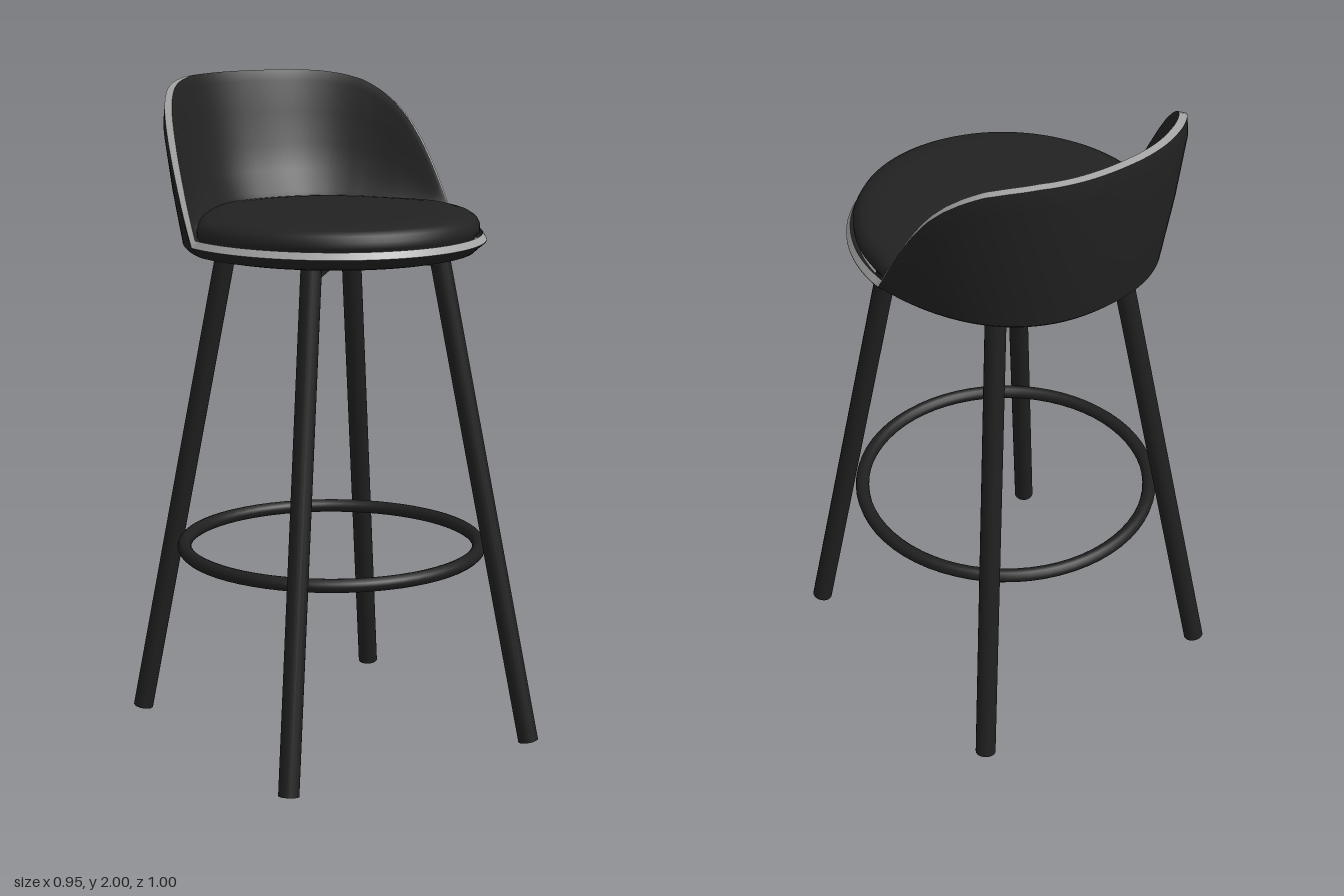
import * as THREE from 'three';

const SEG = 128;
const lerp = THREE.MathUtils.lerp;

// rim height by depth: low around the front, sweeping up to the back
const RIM = [[0.0, 1.535], [-0.04, 1.6], [-0.1, 1.7], [-0.15, 1.775], [-0.2, 1.84], [-0.25, 1.89],
  [-0.3, 1.93], [-0.35, 1.962], [-0.4, 1.98], [-0.45, 1.992], [-0.51, 1.997]];
function rimHeight(z) {
  if (z >= 0) return RIM[0][1];
  for (let i = 1; i < RIM.length; i++) {
    const [z0, y0] = RIM[i - 1], [z1, y1] = RIM[i];
    if (z >= z1) return lerp(y0, y1, (z - z0) / (z1 - z0));
  }
  return RIM[RIM.length - 1][1];
}

// plan radius: elliptical in front, slightly squarer behind
function planRadius(a) {
  const n = Math.cos(a) < 0 ? 2.25 : 2;
  const s = Math.abs(Math.sin(a)) / 0.465, c = Math.abs(Math.cos(a)) / (n > 2 ? 0.505 : 0.49);
  return Math.pow(Math.pow(s, n) + Math.pow(c, n), -1 / n);
}

// surface swept around y; profile(R, H, b) returns [radius, height] points, b = 0 front .. 1 back
function sweep(profile) {
  const pos = [], idx = [];
  let m = 0;
  for (let i = 0; i < SEG; i++) {
    const a = (i / SEG) * Math.PI * 2;
    const R = planRadius(a), H = rimHeight(R * Math.cos(a));
    const pts = profile(R, H, (H - 1.535) / 0.462);
    m = pts.length;
    for (const [r, y] of pts) pos.push(r * Math.sin(a), y, r * Math.cos(a));
  }
  for (let i = 0; i < SEG; i++) {
    const k = (i + 1) % SEG;
    for (let j = 0; j < m - 1; j++) {
      const p = i * m + j, q = k * m + j;
      idx.push(p, q, q + 1, p, q + 1, p + 1);
    }
  }
  const g = new THREE.BufferGeometry();
  g.setAttribute('position', new THREE.Float32BufferAttribute(pos, 3));
  g.setIndex(idx);
  g.computeVertexNormals();
  return g;
}

const trimOuter = (R, H, b) => [R - 0.008 * b, H];
const trimInner = (R, H, b) => [R - 0.012 - 0.02 * b, H + 0.02 * (1 - b) + 0.003 * b];

// outer shell, from the underside centre out and up to the rim
function shellProfile(R, H, b) {
  const base = R * lerp(0.955, 0.87, b), y0 = 1.515;
  return [[0, 1.487], [R * 0.5, 1.488], [base - 0.045, 1.496], [base - 0.012, 1.503], [base, y0],
    [lerp(base, R, 0.55), lerp(y0, H, 0.45)], [R - 0.003 * b, lerp(y0, H, 0.88)], trimOuter(R, H, b)];
}

// padded inside of the backrest, from the rim down into the cushion
function padProfile(R, H, b) {
  const [r0, y0] = trimInner(R, H, b);
  const r1 = R - 0.03 - 0.17 * b, y1 = Math.min(H, 1.59);
  return [[0, 0], [0.08, 0.08], [0.2, 0.3], [0.36, 0.55], [0.52, 0.75], [0.75, 0.9], [1, 1]]
    .map(([u, v]) => [lerp(r0, r1, u), lerp(y0, y1, v)]);
}

// domed seat cushion
function cushionProfile(R, H, b) {
  const r = R * 0.955 - 0.1 * b;
  return [[0.97, 1.54], [1, 1.562], [1, 1.58], [0.98, 1.597], [0.94, 1.609], [0.87, 1.617], [0.75, 1.621],
    [0.4, 1.622], [0, 1.622]].map(([k, y]) => [r * k, y]);
}

export function createModel() {
  const group = new THREE.Group();
  const fabric = new THREE.MeshStandardMaterial({ color: 0x222222 });
  const frame = new THREE.MeshStandardMaterial({ color: 0x1f1f1f });
  const piping = new THREE.MeshStandardMaterial({ color: 0xa6a6a6 });
  fabric.name = 'blackFabric';
  frame.name = 'blackFrame';
  piping.name = 'greyPiping';

  const add = (name, geometry, material) => {
    const mesh = new THREE.Mesh(geometry, material);
    mesh.name = name;
    group.add(mesh);
    return mesh;
  };

  // seat
  add('seatShell', sweep(shellProfile), fabric);
  add('rimPiping', sweep((R, H, b) => [trimOuter(R, H, b), trimInner(R, H, b)]), piping);
  add('backrestPad', sweep(padProfile), fabric);
  add('seatCushion', sweep(cushionProfile), fabric);

  // splayed legs
  const zc = 0.02, up = new THREE.Vector3(0, 1, 0);
  for (const sx of [1, -1]) {
    for (const sz of [1, -1]) {
      const foot = new THREE.Vector3(sx * 0.427, 0.006, zc + sz * 0.452);
      const top = new THREE.Vector3(sx * 0.222, 1.49, zc + sz * 0.245);
      const dir = top.clone().sub(foot);
      const leg = add((sz > 0 ? 'front' : 'back') + (sx > 0 ? 'Left' : 'Right') + 'Leg',
        new THREE.CylinderGeometry(0.031, 0.031, dir.length(), 16), frame);
      leg.position.copy(foot).add(top).multiplyScalar(0.5);
      leg.quaternion.setFromUnitVectors(up, dir.normalize());
    }
  }

  // crossed bars under the seat
  for (const s of [1, -1]) {
    const bar = add('seatCrossBar', new THREE.BoxGeometry(0.68, 0.03, 0.06), frame);
    bar.position.set(0, 1.481, zc);
    bar.rotation.y = s * Math.atan2(0.245, 0.222);
  }

  // round footrest
  const ring = add('footrestRing', new THREE.TorusGeometry(0.452, 0.021, 12, 64), frame);
  ring.rotation.x = Math.PI / 2;
  ring.position.set(0, 0.587, zc);

  return group;
}
